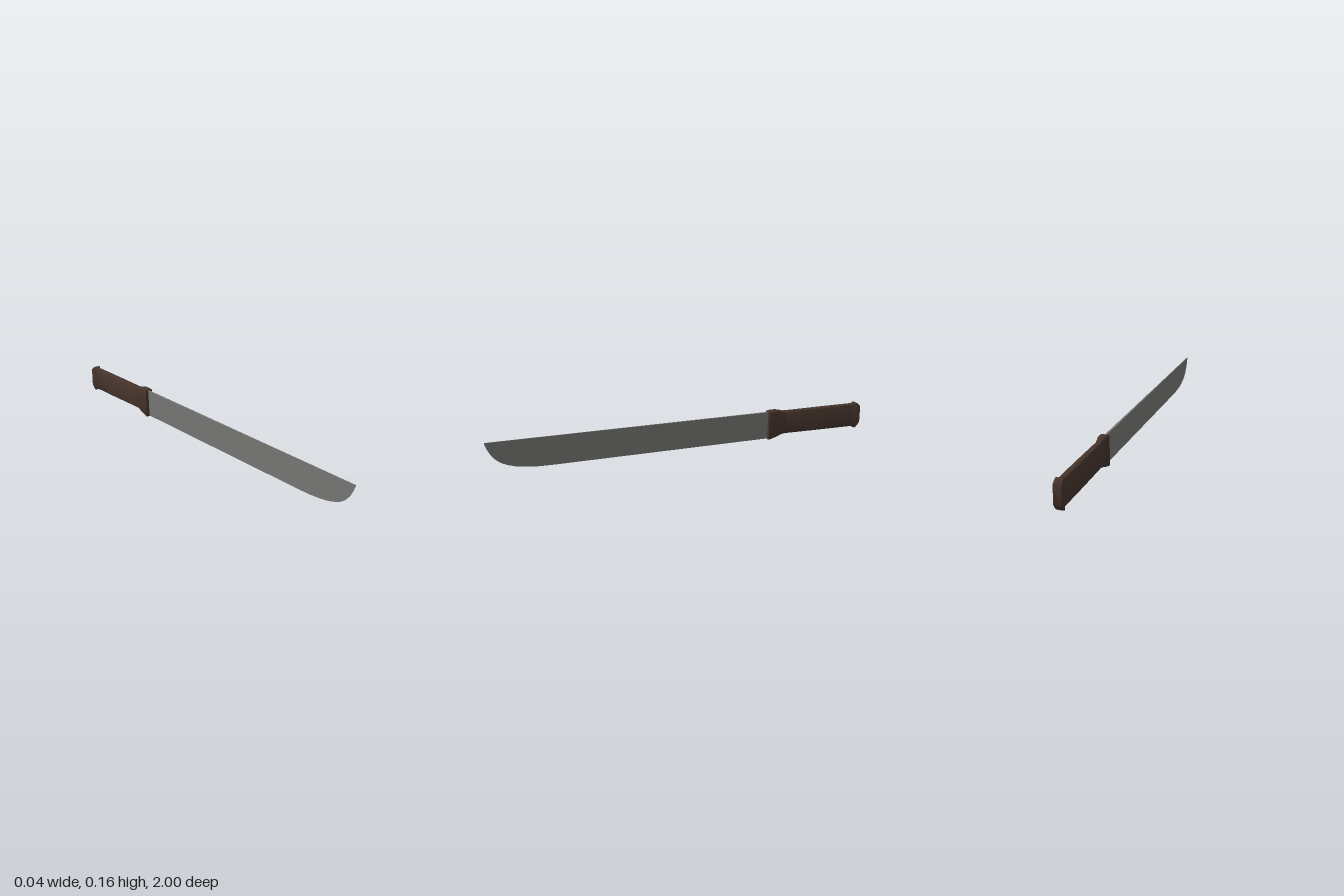
import * as THREE from 'three';
import { toCreasedNormals } from 'three/addons/utils/BufferGeometryUtils.js';

// Skin rings of [x, y] points, ordered from front (+z) to back, with end caps
function loft(rings, crease) {
  const pos = [], idx = [], n = rings[0].pts.length;
  for (const { z, pts } of rings) for (const [x, y] of pts) pos.push(x, y, z);
  for (let r = 0; r < rings.length - 1; r++) {
    for (let i = 0; i < n; i++) {
      const a = r * n + i, b = r * n + (i + 1) % n;
      idx.push(a, a + n, b, b, a + n, b + n);
    }
  }
  const last = (rings.length - 1) * n;
  for (let i = 1; i < n - 1; i++) {
    idx.push(0, i, i + 1);
    idx.push(last, last + i + 1, last + i);
  }
  const g = new THREE.BufferGeometry();
  g.setAttribute('position', new THREE.Float32BufferAttribute(pos, 3));
  g.setIndex(idx);
  return toCreasedNormals(g, crease);
}

// Rounded rectangle ring, counter-clockwise seen from the front
function roundedRing(z, halfWidth, bottom, top, radius) {
  const pts = [], steps = 4;
  const corners = [[1, top - radius], [-1, top - radius], [-1, bottom + radius], [1, bottom + radius]];
  corners.forEach(([side, cy], c) => {
    for (let s = 0; s <= steps; s++) {
      const a = (c + s / steps) * Math.PI / 2;
      pts.push([side * (halfWidth - radius) + radius * Math.cos(a), cy + radius * Math.sin(a)]);
    }
  });
  return { z, pts };
}

export function createModel() {
  const steel = new THREE.MeshStandardMaterial({ color: 0x777775 });
  steel.name = 'steel';
  const wood = new THREE.MeshStandardMaterial({ color: 0x46342c });
  wood.name = 'dark wood';
  const model = new THREE.Group();
  model.name = 'machete';

  // Blade: wedge sections with a flat spine, thinning towards the tip
  const edge = [
    [1, 0.14], [0.99, 0.113], [0.975, 0.085], [0.955, 0.06], [0.93, 0.04],
    [0.9, 0.026], [0.86, 0.014], [0.81, 0.006], [0.75, 0.001], [0.68, 0], [-0.47, 0.002],
  ];
  const blade = new THREE.Mesh(loft(edge.map(([z, bottom]) => {
    const t = 0.001 + 0.0045 * (1 - z) / 1.45;
    return { z, pts: [[-t, 0.147], [0, bottom], [t, 0.147]] };
  }), 0.5), steel);
  blade.name = 'blade';
  model.add(blade);

  // Handle: flared guard, slim grip and chamfered pommel
  // z, half width, bottom, top, corner radius
  const sections = [
    [-0.452, 0.02, 0, 0.15, 0.003],
    [-0.47, 0.02, 0.003, 0.154, 0.005],
    [-0.5, 0.02, 0.011, 0.155, 0.008],
    [-0.52, 0.017, 0.017, 0.151, 0.009],
    [-0.54, 0.014, 0.021, 0.146, 0.009],
    [-0.56, 0.016, 0.022, 0.145, 0.011],
    [-0.75, 0.017, 0.02, 0.145, 0.011],
    [-0.94, 0.016, 0.018, 0.145, 0.011],
    [-0.957, 0.014, 0.016, 0.145, 0.009],
    [-0.972, 0.02, 0.009, 0.151, 0.007],
    [-0.982, 0.02, 0.015, 0.147, 0.007],
    [-0.997, 0.02, 0.036, 0.134, 0.005],
    [-1, 0.018, 0.04, 0.13, 0.004],
  ];
  const handle = new THREE.Mesh(loft(sections.map((s) => roundedRing(...s)), 0.7), wood);
  handle.name = 'handle';
  model.add(handle);
  return model;
}
